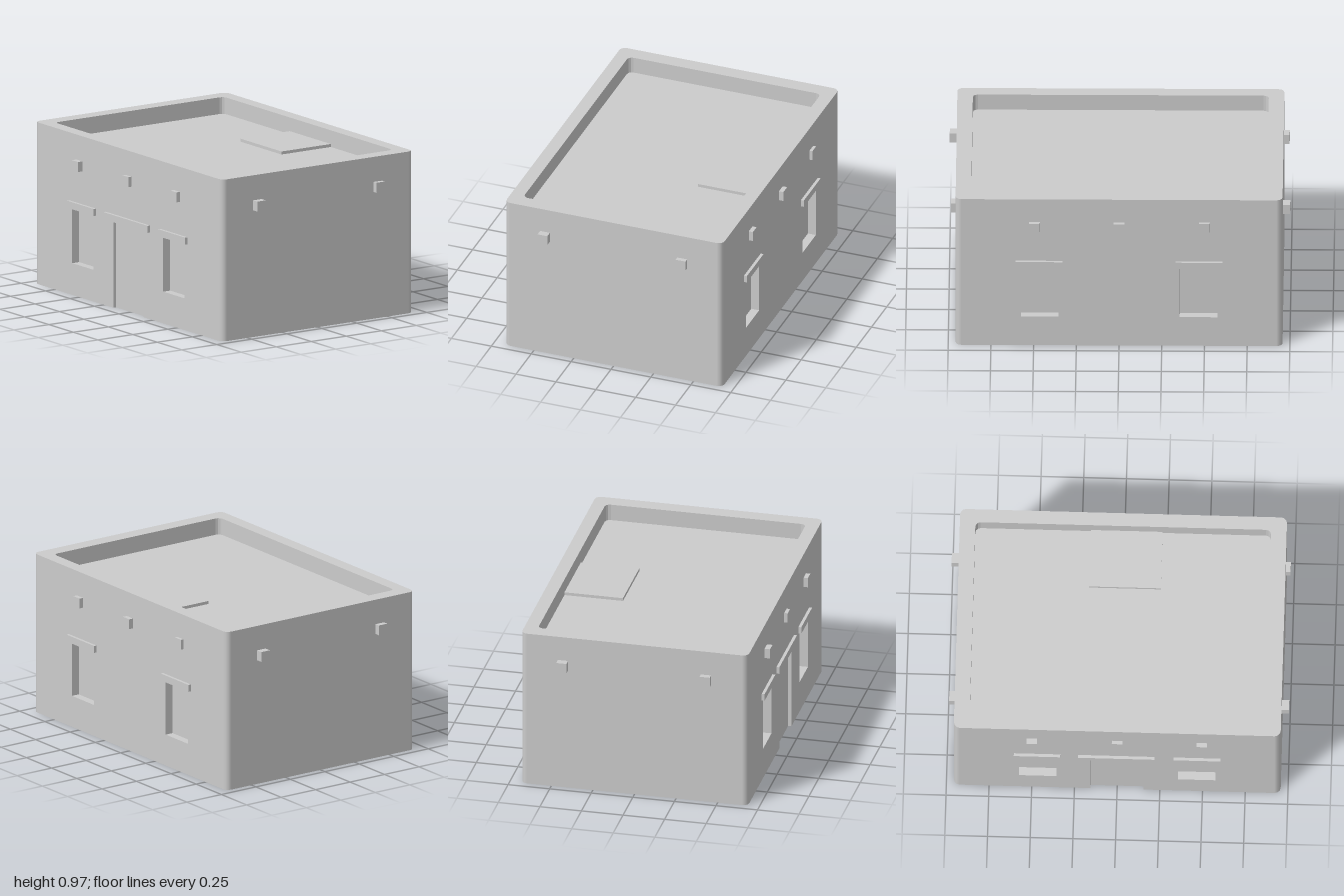
import * as THREE from 'three';

const HX = 0.682, HZ = 0.957, R = 0.035, H = 0.97;
const ROOF = 0.87, SILL = 0.19, HEAD = 0.52;
const WINDOWS = [[-0.575, -0.355, 0.05], [0.355, 0.575, 0.05]];
const DOOR = [-0.155, 0.155, 0.02];

const material = new THREE.MeshStandardMaterial({ color: 0xcccccc });

function add(parent, name, geometry) {
  const mesh = new THREE.Mesh(geometry, material);
  mesh.name = name;
  parent.add(mesh);
  return mesh;
}

// Box given by its lower and upper corners
function block(parent, name, [x0, y0, z0], [x1, y1, z1]) {
  const mesh = add(parent, name, new THREE.BoxGeometry(x1 - x0, y1 - y0, z1 - z0));
  mesh.position.set((x0 + x1) / 2, (y0 + y1) / 2, (z0 + z1) / 2);
}

// Rounded plan outline, with openings notched into the two long sides
function plan(hx, hz, r, right = [], left = []) {
  const pts = [];
  const corner = (sx, sz, start) => {
    for (let i = 0; i <= 3; i++) {
      const a = start + (i / 3) * Math.PI / 2;
      pts.push(new THREE.Vector2(sx * (hx - r) + r * Math.cos(a), sz * (hz - r) + r * Math.sin(a)));
    }
  };
  const notch = (s, a, b, d) => {
    for (const [x, z] of [[hx, a], [hx - d, a], [hx - d, b], [hx, b]]) pts.push(new THREE.Vector2(s * x, s * z));
  };
  corner(1, -1, -Math.PI / 2);
  right.forEach(([a, b, d]) => notch(1, a, b, d));
  corner(1, 1, 0);
  corner(-1, 1, Math.PI / 2);
  left.forEach(([a, b, d]) => notch(-1, a, b, d));
  corner(-1, -1, Math.PI);
  return pts;
}

// One horizontal course of the building; only the outer corners are smoothed
function course(parent, name, y0, y1, outline, hole) {
  const shape = new THREE.Shape(outline);
  if (hole) shape.holes.push(new THREE.Path(hole));
  const geo = new THREE.ExtrudeGeometry(shape, { depth: y1 - y0, bevelEnabled: false });
  geo.rotateX(-Math.PI / 2).translate(0, y0, 0);
  const p = geo.attributes.position, n = geo.attributes.normal;
  for (let i = 0; i < p.count; i++) {
    const dx = Math.abs(p.getX(i)) - (HX - R), dz = Math.abs(p.getZ(i)) - (HZ - R);
    if (Math.abs(n.getY(i)) > 0.5 || dx < -1e-5 || dz < -1e-5) continue;
    const l = Math.hypot(dx, dz);
    n.setXYZ(i, Math.sign(p.getX(i)) * dx / l, 0, Math.sign(p.getZ(i)) * dz / l);
  }
  add(parent, name, geo);
}

export function createModel() {
  const model = new THREE.Group();
  model.name = 'flatRoofHouse';

  // Walls, stacked in courses so the openings are recessed
  const walls = new THREE.Group();
  walls.name = 'walls';
  model.add(walls);
  course(walls, 'wallBase', 0, SILL, plan(HX, HZ, R, [], [DOOR]));
  course(walls, 'wallWithOpenings', SILL, HEAD, plan(HX, HZ, R, WINDOWS, [WINDOWS[0], DOOR, WINDOWS[1]]));
  course(walls, 'wallTop', HEAD, ROOF, plan(HX, HZ, R));
  course(walls, 'parapet', ROOF, H, plan(HX, HZ, R), plan(0.602, 0.866, 0.03));

  // Roof hatch against the parapet
  block(model, 'roofHatch', [0.25, ROOF, -0.19], [0.602, ROOF + 0.018, 0.23]);

  // Lintels over the windows and the door
  const lintel = (name, s, z0, z1) => block(model, name,
    [s > 0 ? HX : -0.7, HEAD, z0], [s > 0 ? 0.7 : -HX, 0.562, z1]);
  for (const s of [-1, 1]) {
    lintel('windowLintel', s, -0.605, -0.33);
    lintel('windowLintel', s, 0.33, 0.605);
  }
  lintel('doorLintel', -1, -0.23, 0.22);

  // Beam ends sticking out of the walls
  const y0 = 0.76, y1 = 0.82, w = 0.031;
  for (const [z, reachR, reachL] of [[-0.5, 0.7, 0.715], [0, 0.71, 0.703], [0.495, 0.708, 0.708]]) {
    block(model, 'sideBeamEnd', [0.66, y0, z - w], [reachR, y1, z + w]);
    block(model, 'sideBeamEnd', [-reachL, y0, z - w], [-0.66, y1, z + w]);
  }
  for (const [x, reachF, reachB] of [[-0.43, 1, 0.99], [0.43, 0.985, 1]]) {
    block(model, 'frontBeamEnd', [x - w, y0, 0.93], [x + w, y1, reachF]);
    block(model, 'backBeamEnd', [x - w, y0, -reachB], [x + w, y1, -0.93]);
  }
  return model;
}
